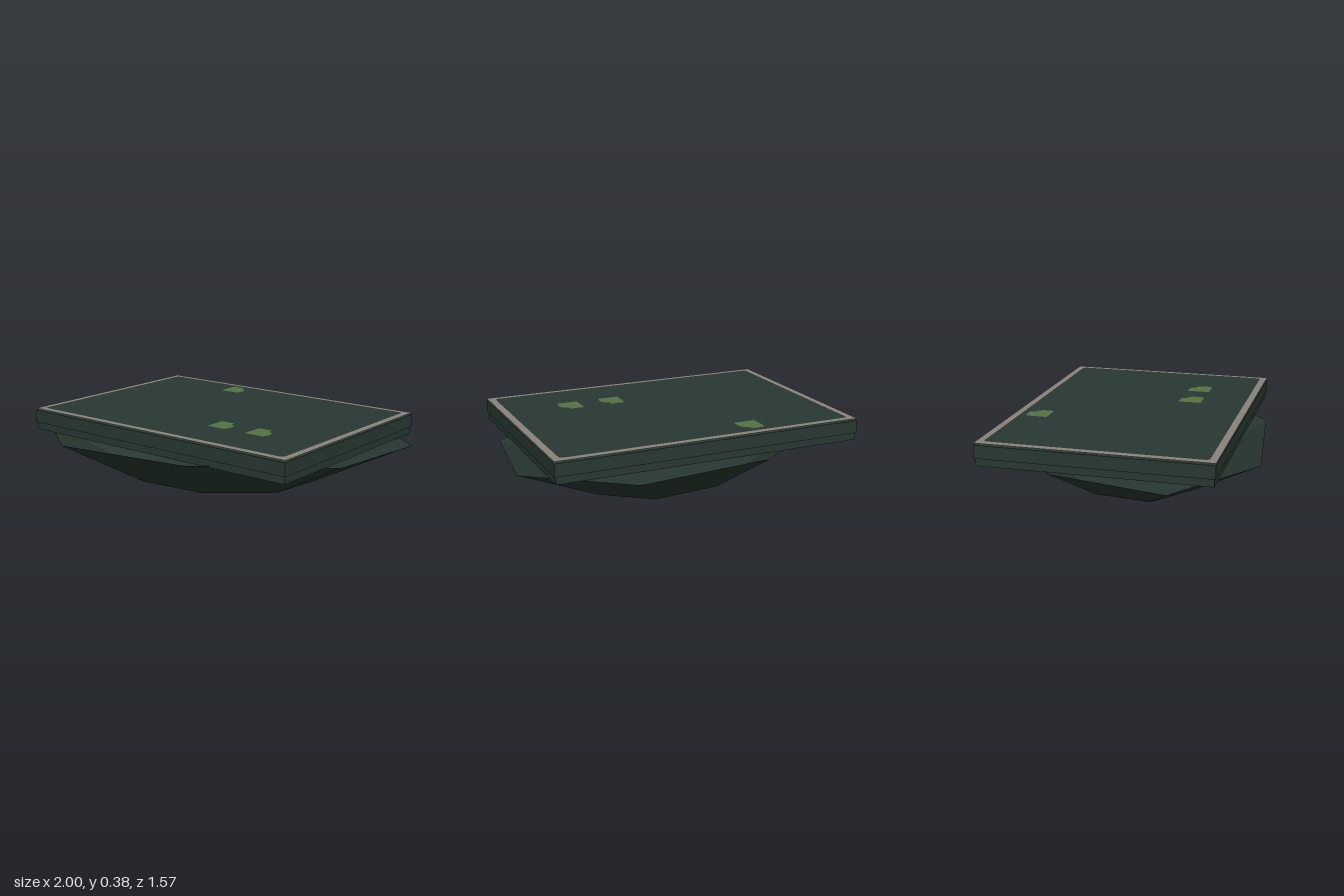
import * as THREE from 'three';

export function createModel() {
  const group = new THREE.Group();
  const material = (name, color) => {
    const m = new THREE.MeshStandardMaterial({ color, flatShading: true, side: THREE.DoubleSide });
    m.name = name;
    return m;
  };
  const green = material('dark pond green', 0x283831);
  const stone = material('stone grey', 0x89837b);
  const leaf = material('leaf green', 0x547243);

  const add = (name, geo, mat, x = 0, y = 0, z = 0) => {
    const mesh = new THREE.Mesh(geo, mat);
    mesh.name = name;
    mesh.position.set(x, y, z);
    group.add(mesh);
  };

  // Flat horizontal sheet facing up, from a shape drawn in (x, -z)
  const sheet = (shape) => new THREE.ShapeGeometry(shape, 4).rotateX(-Math.PI / 2);

  const rect = (Type, hx, hz) => new Type([
    new THREE.Vector2(-hx, -hz), new THREE.Vector2(hx, -hz),
    new THREE.Vector2(hx, hz), new THREE.Vector2(-hx, hz),
  ]);

  // Faceted open bowl: uneven eight-sided rim, floor at half its size
  const rim = [
    [0.49, 0.25, -0.785], [1, 0.25, -0.4], [0.92, 0.247, 0.2], [0.3, 0.262, 0.7],
    [-0.49, 0.25, 0.785], [-1, 0.24, 0.41], [-0.92, 0.262, -0.21], [-0.28, 0.252, -0.71],
  ];
  const floor = rim.map(([x, , z]) => [x * 0.5, 0, z * 0.51]);
  const pos = [];
  const tri = (a, b, c) => pos.push(...a, ...b, ...c);
  rim.forEach((p, i) => {
    const j = (i + 1) % rim.length;
    tri(p, rim[j], floor[j]);
    tri(p, floor[j], floor[i]);
    tri(floor[i], floor[j], [0, 0, 0]);
  });
  const bowl = new THREE.BufferGeometry();
  bowl.setAttribute('position', new THREE.Float32BufferAttribute(pos, 3));
  bowl.computeVertexNormals();
  add('bowl', bowl, green);

  // Lower frame and slightly wider upper frame
  for (const [name, hx, hz, y, depth] of [
    ['lowerFrame', 0.866, 0.615, 0.251, 0.041],
    ['upperFrame', 0.873, 0.622, 0.292, 0.071],
  ]) {
    const ring = rect(THREE.Shape, hx, hz);
    ring.holes.push(rect(THREE.Path, 0.83, 0.58));
    const geo = new THREE.ExtrudeGeometry(ring, { depth, bevelEnabled: false }).rotateX(-Math.PI / 2);
    add(name, geo, green, 0, y, 0);
  }

  // Stone sheet just above the frame, with the water on it inside a narrow border
  add('stoneBorder', sheet(rect(THREE.Shape, 0.873, 0.622)), stone, 0, 0.374, 0);
  const water = new THREE.Shape();
  const hx = 0.833, hz = 0.583, r = 0.02;
  water.absarc(hx - r, hz - r, r, 0, Math.PI / 2);
  water.absarc(-hx + r, hz - r, r, Math.PI / 2, Math.PI);
  water.absarc(-hx + r, -hz + r, r, Math.PI, Math.PI * 1.5);
  water.absarc(hx - r, -hz + r, r, Math.PI * 1.5, Math.PI * 2);
  add('water', sheet(water), green, 0, 0.375, 0);

  // Floating leaves, outlines with z measured from the leaf centre
  const notched = [[-0.063, -0.063], [0.02, -0.063], [0.024, -0.035], [0.05, -0.022], [0.063, 0.005],
    [0.063, 0.045], [0.05, 0.065], [-0.063, 0.065]];
  const rounded = [[-0.063, -0.045], [-0.045, -0.063], [0.01, -0.063], [0.024, -0.035],
    [0.05, -0.022], [0.063, 0.005], [0.063, 0.065], [-0.063, 0.065]];
  for (const [outline, x, z] of [[rounded, -0.275, -0.485], [notched, 0.228, 0.27], [notched, 0.478, 0.27]]) {
    const shape = new THREE.Shape(outline.map(([u, v]) => new THREE.Vector2(u, -v)));
    add('lilyPad', sheet(shape), leaf, x, 0.376, z);
  }
  return group;
}
